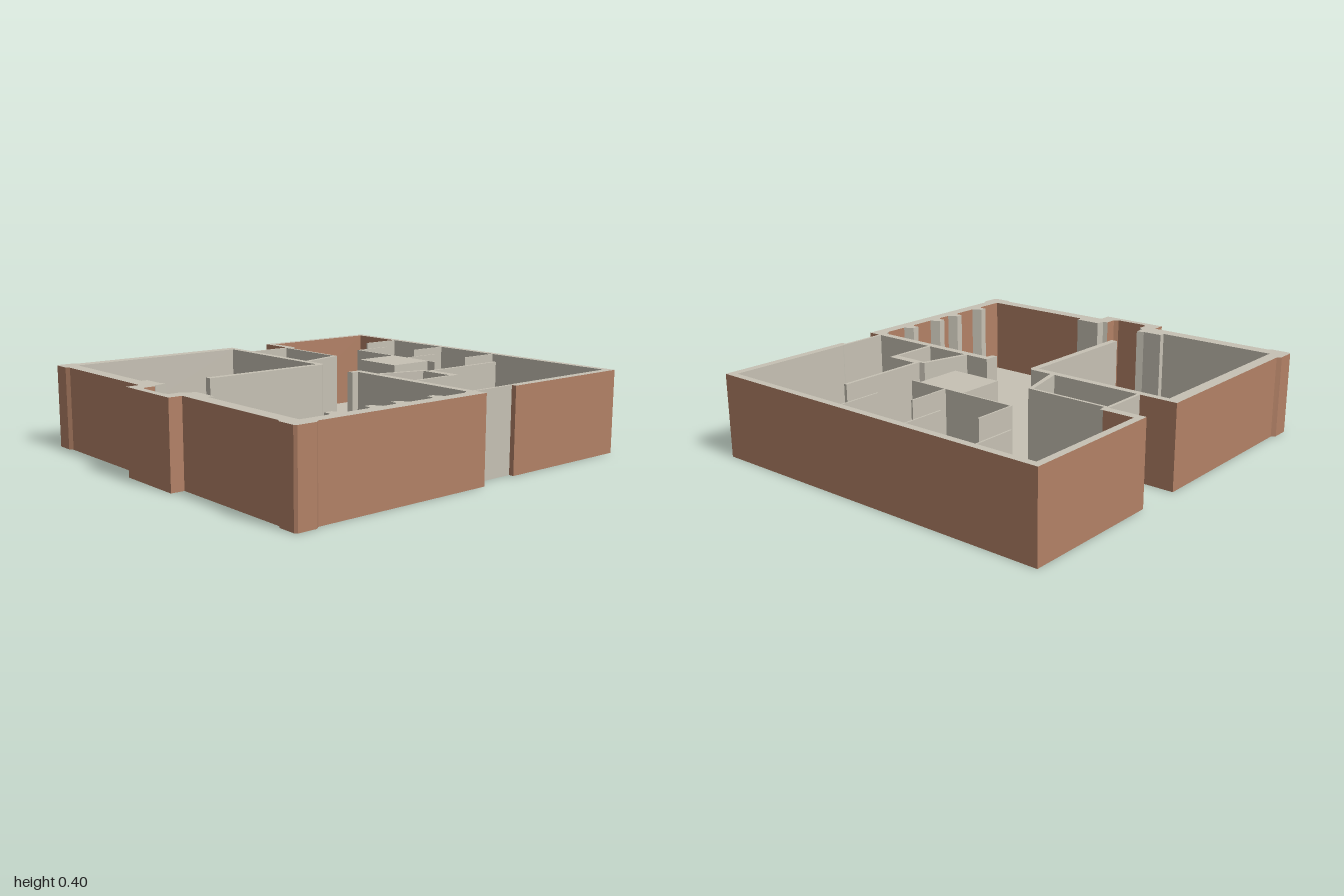
import * as THREE from 'three';

const H = 0.4, FLOOR = 0.012;
const plaster = new THREE.MeshStandardMaterial({ color: 0xc6c1b4 });
plaster.name = 'plaster';
const brick = new THREE.MeshStandardMaterial({ color: 0xb28166 });
brick.name = 'brick';

// Upright prism from plan points [x, z, flag]; flag 1 makes the wall starting there brick
function prism(name, plan, height = H) {
  const pts = plan.map(([x, z]) => new THREE.Vector2(x, -z));
  const ccw = !THREE.ShapeUtils.isClockWise(pts);
  const pos = [[], []];
  const tri = (m, a, b, c) => pos[m].push(...a, ...b, ...c);
  const at = (i, y) => [plan[i][0], y, plan[i][1]];
  plan.forEach((p, i) => {
    const j = (i + 1) % plan.length;
    const [a, b] = ccw ? [i, j] : [j, i];
    const m = p[2] ? 1 : 0;
    tri(m, at(a, 0), at(b, 0), at(b, height));
    tri(m, at(a, 0), at(b, height), at(a, height));
  });
  for (const [i, j, k] of THREE.ShapeUtils.triangulateShape(pts, [])) {
    const up = (pts[j].x - pts[i].x) * (pts[k].y - pts[i].y) - (pts[j].y - pts[i].y) * (pts[k].x - pts[i].x) > 0;
    const [b, c] = up ? [j, k] : [k, j];
    tri(0, at(i, height), at(b, height), at(c, height));
    tri(0, at(i, 0), at(c, 0), at(b, 0));
  }
  const geo = new THREE.BufferGeometry();
  geo.setAttribute('position', new THREE.Float32BufferAttribute([...pos[0], ...pos[1]], 3));
  geo.addGroup(0, pos[0].length / 3, 0);
  if (pos[1].length) geo.addGroup(pos[0].length / 3, pos[1].length / 3, 1);
  geo.computeVertexNormals();
  const mesh = new THREE.Mesh(geo, [plaster, brick]);
  mesh.name = name;
  return mesh;
}

// Straight block between plan corners
function block(name, x0, x1, z0, z1) {
  const mesh = new THREE.Mesh(new THREE.BoxGeometry(x1 - x0, H, z1 - z0), plaster);
  mesh.position.set((x0 + x1) / 2, H / 2, (z0 + z1) / 2);
  mesh.name = name;
  return mesh;
}

export function createModel() {
  const model = new THREE.Group();
  model.name = 'floorPlan';

  // Floors
  model.add(prism('backFloor', [
    [-0.9, -0.98], [0.86, -0.98], [0.86, -0.33], [0.5, -0.33], [0.5, -0.31], [-0.9, -0.31],
  ], FLOOR));
  model.add(prism('linkFloor', [
    [-0.32, -0.31], [0.315, -0.31], [0.257, -0.06], [-0.265, -0.06],
  ], FLOOR));
  model.add(prism('frontFloor', [
    [-0.9, -0.065], [0.9, -0.065], [0.9, 0.92], [0.15, 0.92], [0.15, 0.98],
    [-0.15, 0.98], [-0.15, 0.92], [-0.9, 0.92],
  ], FLOOR));

  // Outer wall of the back wing
  model.add(prism('backWingWall', [
    [-0.735, -0.3, 1], [-0.92, -0.3, 1], [-0.92, -1, 1], [0.88, -1, 1], [0.88, -0.3, 1],
    [0.85, -0.3], [0.84, -0.33], [0.84, -0.965], [-0.6, -0.965, 1], [-0.885, -0.965, 1],
    [-0.885, -0.34, 1], [-0.735, -0.34],
  ]));

  // Thin walls around the light wells between the wings
  model.add(prism('leftWellWall', [
    [-0.735, -0.34], [-0.72, -0.34], [-0.715, -0.303], [-0.315, -0.303], [-0.257, -0.08],
    [-0.257, -0.068], [-0.278, -0.068], [-0.333, -0.289], [-0.722, -0.289],
    [-0.722, -0.068], [-0.737, -0.068], [-0.737, -0.3],
  ]));
  model.add(prism('rightWellWall', [
    [0.335, -0.765], [0.35, -0.765], [0.352, -0.33], [0.51, -0.33], [0.51, -0.068],
    [0.494, -0.068], [0.494, -0.289], [0.325, -0.289], [0.268, -0.068], [0.25, -0.068],
    [0.25, -0.08], [0.308, -0.303], [0.335, -0.31],
  ]));
  model.add(block('sideScreenWall', 0.842, 0.856, -0.33, -0.068));

  // Corner pilaster outline, mirrored to the other side
  const pilaster = [[0.92, 0.83], [0.937, 0.85], [0.937, 0.938], [0.925, 0.948], [0.84, 0.948], [0.82, 0.935], [0.172, 0.935], [0.172, 1]];
  const outerRight = pilaster.map(([x, z]) => [x, z, 1]);
  const outerLeft = pilaster.map(([x, z]) => [-x, z, 1]).reverse();

  // Small pilasters on the inside of the right wall
  const bumps = [0.695, 0.495, 0.355, 0.155].flatMap((z) => [
    [0.86, z + 0.035], [0.848, z + 0.02], [0.815, z + 0.02], [0.815, z - 0.015], [0.86, z - 0.04, 1],
  ]);

  // Outer wall of the front wing with entrance and dividing wall
  model.add(prism('frontWingWall', [
    [0.125, -0.07], [0.855, -0.07, 1], [0.92, -0.07, 1],
    ...outerRight, ...outerLeft,
    [-0.92, -0.07, 1], [-0.735, -0.07], [-0.145, -0.07], [-0.127, -0.05],
    [-0.127, 0.6], [-0.16, 0.6], [-0.16, -0.035], [-0.862, -0.035], [-0.862, 0.87],
    [-0.265, 0.87], [-0.265, 0.84], [-0.165, 0.838], [-0.13, 0.825], [-0.125, 0.88],
    [-0.1, 0.9, 1], [-0.1, 0.95, 1], [-0.08, 0.965, 1], [0.08, 0.965, 1], [0.1, 0.95, 1],
    [0.1, 0.89], [0.122, 0.88], [0.13, 0.84], [0.262, 0.84], [0.262, 0.87, 1], [0.86, 0.87, 1],
    ...bumps,
    [0.86, 0], [0.84, -0.032], [0.155, -0.032], [0.152, -0.002], [0.125, 0.005],
  ]));

  // Partitions of the back rooms
  const t = 0.004;
  for (const x of [-0.598, -0.225, 0.145]) model.add(block('stallPartition', x - t, x + t, -0.97, -0.76));
  for (const x of [-0.41, -0.041]) model.add(block('roomPartition', x - t, x + t, -0.74, -0.53));
  model.add(block('crossPartition', -0.414, 0.16, -0.537, -0.529));
  model.add(block('coreShaft', -0.142, 0.113, -0.53, -0.303));

  return model;
}
